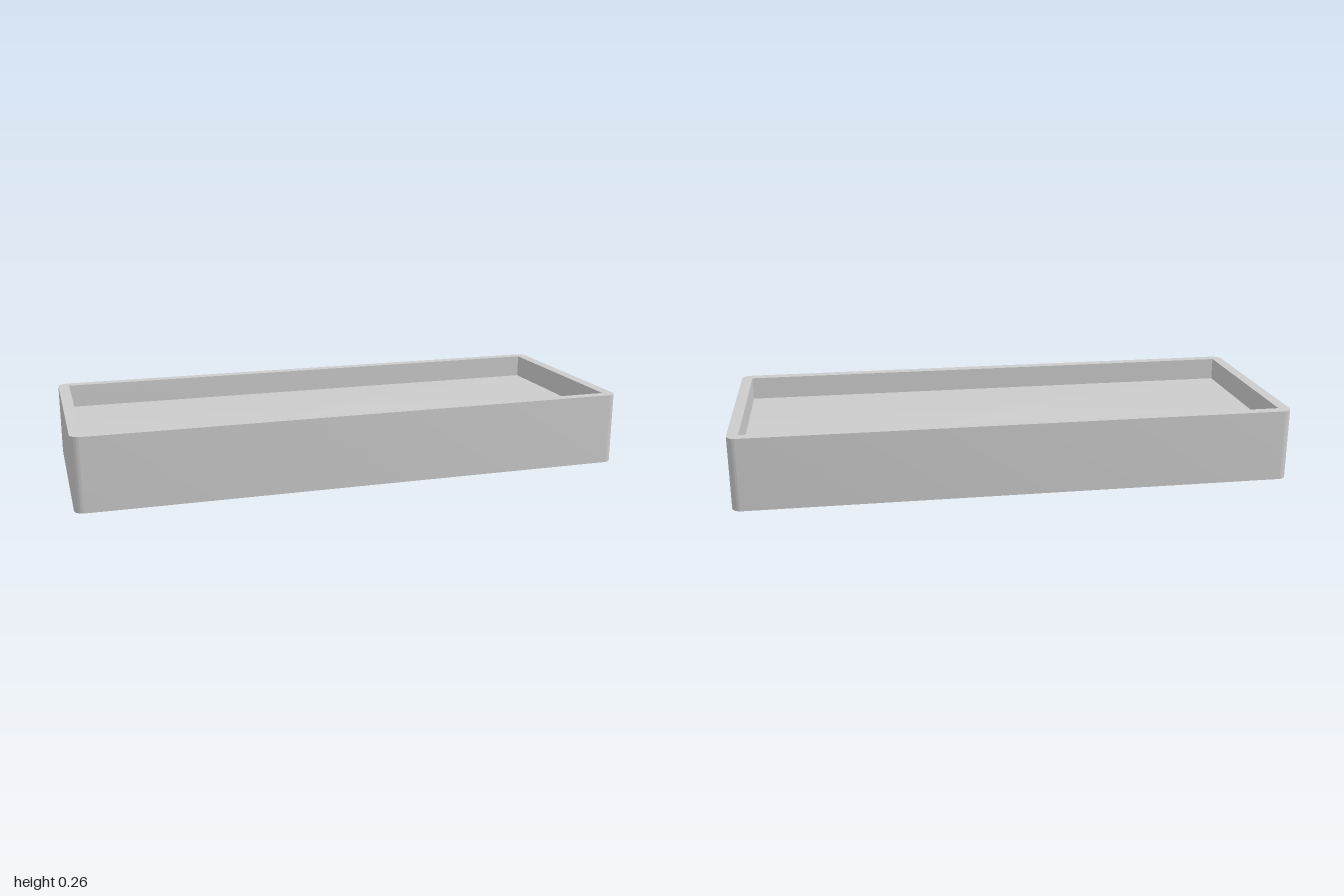
import * as THREE from 'three';
import { toCreasedNormals, mergeVertices } from 'three/addons/utils/BufferGeometryUtils.js';

const HX = 1, HZ = 0.39, HEIGHT = 0.262, WALL = 0.04, RADIUS = 0.035;
const FLOOR_Y = 0.177, CROWN = 0.02;

// Rounded rectangle outline of the tray
function outline() {
  const s = new THREE.Shape(), r = RADIUS;
  s.moveTo(HX - r, -HZ);
  s.absarc(HX - r, -HZ + r, r, -Math.PI / 2, 0);
  s.absarc(HX - r, HZ - r, r, 0, Math.PI / 2);
  s.absarc(-HX + r, HZ - r, r, Math.PI / 2, Math.PI);
  s.absarc(-HX + r, -HZ + r, r, Math.PI, Math.PI * 1.5);
  s.closePath();
  return s;
}

// Gently crowned panel: a large rectangle rising to a small one in the middle
function crownedPanel(hx, hz) {
  const ring = (k, y) => [[-1, 1], [1, 1], [1, -1], [-1, -1]].flatMap(([x, z]) => [x * hx * k, y, z * hz * k]);
  const index = [4, 5, 6, 4, 6, 7];
  for (let i = 0; i < 4; i++) {
    const j = (i + 1) % 4;
    index.push(i, j, j + 4, i, j + 4, i + 4);
  }
  const g = new THREE.BufferGeometry();
  g.setAttribute('position', new THREE.Float32BufferAttribute([...ring(1, 0), ...ring(0.1, CROWN)], 3));
  g.setIndex(index);
  g.computeVertexNormals();
  return g;
}

export function createModel() {
  const group = new THREE.Group();
  const material = new THREE.MeshStandardMaterial({ color: 0xcccccc });
  const add = (name, geometry, y = 0) => {
    const mesh = new THREE.Mesh(geometry, material);
    mesh.name = name;
    mesh.position.y = y;
    group.add(mesh);
  };

  // Walls with rounded outer corners and a square-cornered opening
  const ix = HX - WALL, iz = HZ - WALL;
  const shape = outline();
  shape.holes.push(new THREE.Path([[-ix, -iz], [-ix, iz], [ix, iz], [ix, -iz]].map(([x, z]) => new THREE.Vector2(x, z))));
  const walls = new THREE.ExtrudeGeometry(shape, { depth: HEIGHT, bevelEnabled: false, curveSegments: 6 });
  walls.rotateX(-Math.PI / 2);
  add('walls', toCreasedNormals(walls, 0.6));

  // Underside closing the opening
  const base = new THREE.PlaneGeometry(2 * ix, 2 * iz);
  base.rotateX(Math.PI / 2);
  add('base', base);

  // Raised floor inside the walls
  add('floor', mergeVertices(crownedPanel(ix, iz)), FLOOR_Y);

  return group;
}
